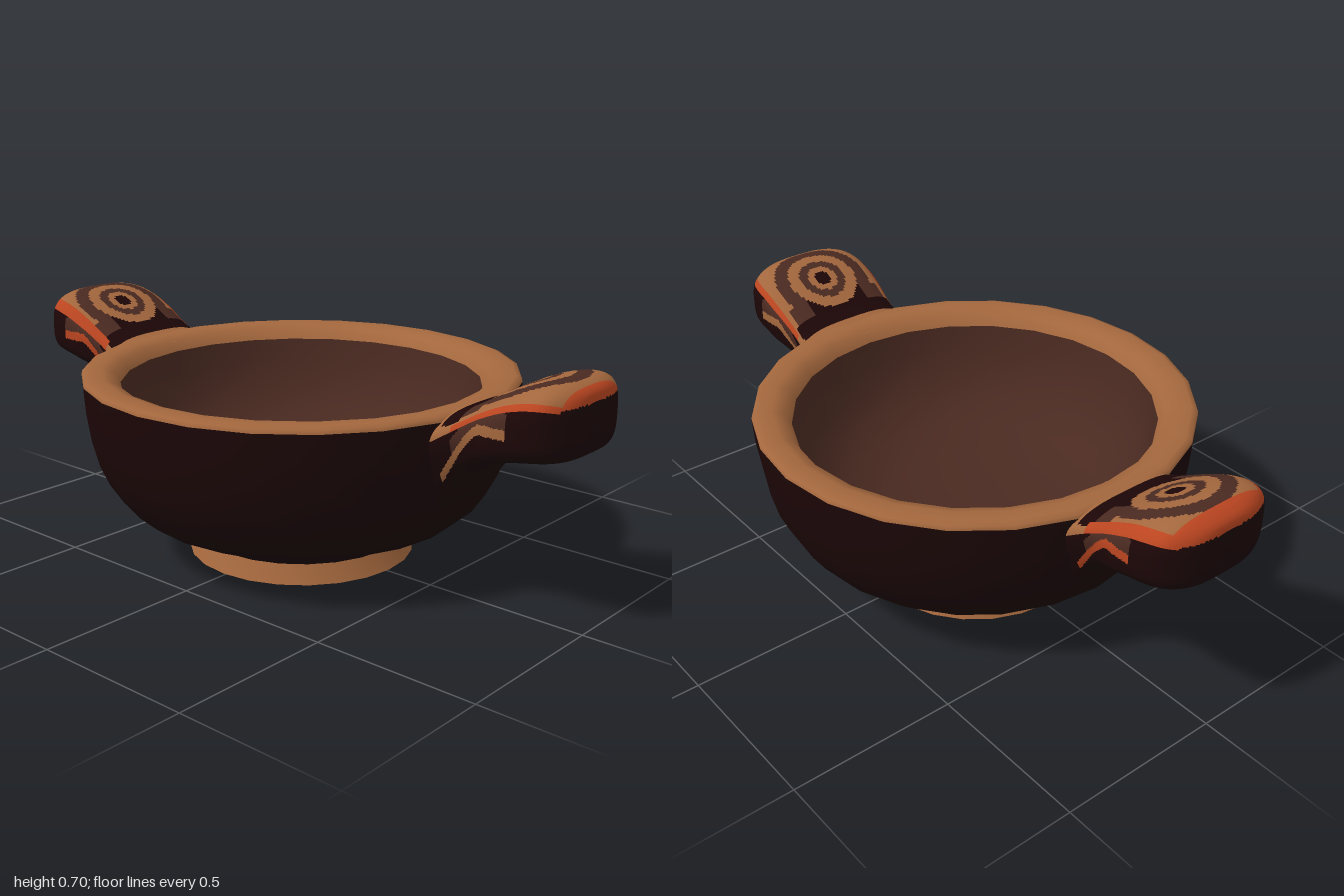
import * as THREE from 'three';

const mat = (name, color) => {
  const m = new THREE.MeshStandardMaterial({ color });
  m.name = name;
  return m;
};

// Handle stations: x, half width, bottom y, top y
const STATIONS = [
  [0.56, 0.24, 0.25, 0.565], [0.62, 0.23, 0.31, 0.579], [0.66, 0.22, 0.37, 0.592], [0.70, 0.213, 0.418, 0.61],
  [0.77, 0.21, 0.464, 0.65], [0.84, 0.21, 0.484, 0.685], [0.90, 0.207, 0.494, 0.703],
  [0.945, 0.19, 0.50, 0.704], [0.976, 0.15, 0.507, 0.692], [0.993, 0.1, 0.52, 0.674],
  [1.0, 0.0, 0.6, 0.6],
];

// Painted pattern on the handle; returns a material index:
// 0 dark glaze, 1 tan clay, 2 brown, 3 orange. t is -1 at the bottom, 1 at the top.
// The wide style has a broad orange border and an orange side streak
function paint(x, y, z, t, wide) {
  const az = Math.abs(z);
  const r = Math.hypot(x - 0.81, z * 0.9);
  if (x > (wide ? 0.95 : 0.975)) {                       // tip
    if (y > 0.652) return 3;
    if (x > 0.97) return 0;
  }
  if (t > (wide ? 0.76 : 0.66) || (t > 0.5 && x < 0.68)) { // top face
    if (x < 0.645) return 1;
    if (x < 0.7 && az < 0.18) return 0;
    if (wide && az > 0.182 && x > 0.74) return 3;
    if (r < 0.025) return 0;
    if (r < 0.045) return 1;
    if (r < 0.07) return 2;
    if (r < 0.105) return 1;
    if (x < 0.755 && az < 0.17) return az > 0.1 ? 2 : 0;
    if (r < 0.145) return 2;
    return 1;
  }
  if (t > 0.5) return 3;                                 // lip along the edge
  if (az > 0.12 && x > 0.64 && x < 0.86) {               // curved streak on the side
    const c = 0.58 - 0.14 * Math.pow(Math.max(0, 0.78 - x) / 0.12, 1.3);
    if (Math.abs(y - c) < 0.014) return wide ? 3 : 1;
    if (x > 0.68 && y > c && y < c + 0.055) return 2;
  }
  return 0;
}

// Tongue-shaped handle lofted along x; crowned above, squarer below, pinched at the root
function handleGeometry(wideStyle) {
  const NU = 90, NA = 160;
  const wide = new THREE.CatmullRomCurve3(STATIONS.map(s => new THREE.Vector3(s[0], s[1], 0)));
  const tall = new THREE.CatmullRomCurve3(STATIONS.map(s => new THREE.Vector3(s[0], s[2], s[3])));
  const pos = [], ts = [], faces = [[], [], [], []];
  for (let i = 0; i <= NU; i++) {
    const p = wide.getPoint(i / NU), q = tall.getPoint(i / NU);
    const mid = (q.y + q.z) / 2, h = (q.z - q.y) / 2;
    const root = 1 - THREE.MathUtils.smoothstep(p.x, 0.62, 0.82);
    for (let j = 0; j < NA; j++) {
      const a = (j / NA) * Math.PI * 2, c = Math.cos(a), s = Math.sin(a);
      const n = s > 0 ? 3 : 4;
      const k = Math.pow(Math.abs(c) ** n + Math.abs(s) ** n, -1 / n);
      const pinch = 1 - root * 0.4 * (1 - s * k) / 2;
      pos.push(Math.min(p.x, 1), mid + h * s * k, p.y * c * k * pinch);
      ts.push(s * k);
    }
  }
  for (let i = 0; i < NU; i++) for (let j = 0; j < NA; j++) {
    const a = i * NA + j, b = a + NA, d = i * NA + (j + 1) % NA, e = d + NA;
    const avg = k => (pos[a * 3 + k] + pos[e * 3 + k]) / 2;
    const m = paint(avg(0), avg(1), avg(2), (ts[a] + ts[e]) / 2, wideStyle);
    faces[m].push(a, b, d, b, e, d);
  }
  const g = new THREE.BufferGeometry();
  g.setAttribute('position', new THREE.Float32BufferAttribute(pos, 3));
  g.setIndex(faces.flat());
  let start = 0;
  faces.forEach((f, m) => { g.addGroup(start, f.length, m); start += f.length; });
  g.computeVertexNormals();
  return g;
}

export function createModel() {
  const group = new THREE.Group();
  const dark = mat('darkGlaze', 0x1c0607);
  const tan = mat('tanClay', 0xa3673d);
  const brown = mat('brownGlaze', 0x4a2a21);
  const orange = mat('orangeGlaze', 0xba4520);

  const lathe = (name, material, pts) => {
    const g = new THREE.LatheGeometry(pts.map(p => new THREE.Vector2(...p)), 24);
    const m = new THREE.Mesh(g, material);
    m.name = name;
    group.add(m);
  };

  // Hollow ring foot
  lathe('footCeiling', brown, [[0, 0.172], [0.295, 0.172]]);
  lathe('footInside', dark, [[0.295, 0.172], [0.3, 0.055]]);
  lathe('footInnerLip', tan, [[0.3, 0.055], [0.308, 0.015]]);
  lathe('footBase', tan, [[0.308, 0.015], [0.325, 0.005], [0.348, 0.01]]);
  lathe('footOutside', tan, [[0.348, 0.01], [0.335, 0.035], [0.322, 0.065]]);

  // Bowl wall, rim and inside
  lathe('bowlOutside', dark, [[0.322, 0.065], [0.34, 0.08], [0.41, 0.11], [0.5, 0.152], [0.555, 0.2],
    [0.595, 0.26], [0.622, 0.32], [0.643, 0.4], [0.655, 0.48], [0.66, 0.562]]);
  lathe('rim', tan, [[0.66, 0.562], [0.657, 0.574], [0.64, 0.58], [0.6, 0.58], [0.565, 0.568], [0.545, 0.535]]);
  lathe('bowlInside', brown, [[0.545, 0.535], [0.533, 0.46], [0.508, 0.38], [0.463, 0.31], [0.39, 0.25],
    [0.28, 0.207], [0.14, 0.186], [0, 0.18]]);

  // Two painted handles
  [['leftHandle', 0, false], ['rightHandle', Math.PI, true]].forEach(([name, turn, wideStyle]) => {
    const m = new THREE.Mesh(handleGeometry(wideStyle), [dark, tan, brown, orange]);
    m.name = name;
    m.rotation.y = turn;
    group.add(m);
  });
  return group;
}
